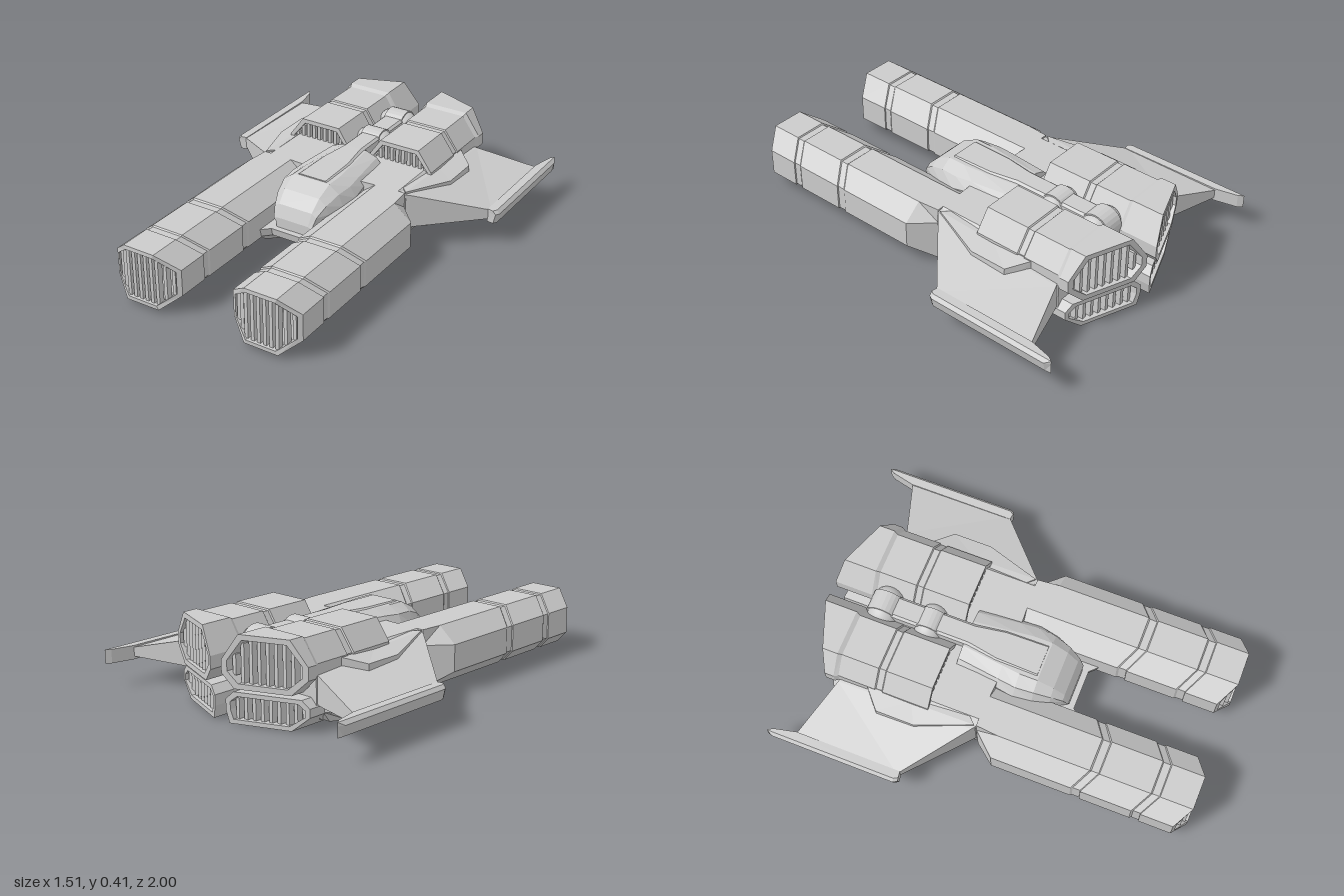
import * as THREE from 'three';

const grey = new THREE.MeshStandardMaterial({ color: 0xcccccc, flatShading: true });
const smooth = new THREE.MeshStandardMaterial({ color: 0xcccccc });

// Skin equal-length loops of [x, y, z] and close both ends
function loft(loops) {
  const pos = [];
  const tri = (a, b, c) => pos.push(...a, ...b, ...c);
  const n = loops[0].length;
  for (let s = 0; s < loops.length - 1; s++) {
    const a = loops[s], b = loops[s + 1];
    for (let i = 0; i < n; i++) {
      const j = (i + 1) % n;
      tri(a[i], a[j], b[j]);
      tri(a[i], b[j], b[i]);
    }
  }
  const cap = (l, flip) => {
    const c = [0, 1, 2].map(k => l.reduce((t, p) => t + p[k], 0) / n);
    for (let i = 0; i < n; i++) {
      const j = (i + 1) % n;
      flip ? tri(c, l[j], l[i]) : tri(c, l[i], l[j]);
    }
  };
  cap(loops[0], true);
  cap(loops[loops.length - 1], false);
  const g = new THREE.BufferGeometry();
  g.setAttribute('position', new THREE.Float32BufferAttribute(pos, 3));
  g.computeVertexNormals();
  return g;
}

// Mirrored copy across x = 0 with corrected winding
function mirrored(geo) {
  const g = geo.index ? geo.toNonIndexed() : geo.clone();
  const p = g.attributes.position;
  for (let i = 0; i < p.count; i += 3) {
    const v = [0, 2, 1].map(k => [-p.getX(i + k), p.getY(i + k), p.getZ(i + k)]);
    v.forEach((q, k) => p.setXYZ(i + k, ...q));
  }
  g.computeVertexNormals();
  return g;
}

// Shrink a 2D profile by distance d about its middle
function inset(profile, d) {
  const [cx, cy, hw, hh] = bounds(profile);
  return profile.map(([x, y]) => [cx + (x - cx) * (1 - d / hw), cy + (y - cy) * (1 - d / hh)]);
}
function bounds(profile) {
  const xs = profile.map(p => p[0]), ys = profile.map(p => p[1]);
  const a = Math.min(...xs), b = Math.max(...xs), c = Math.min(...ys), d = Math.max(...ys);
  return [(a + b) / 2, (c + d) / 2, (b - a) / 2, (d - c) / 2];
}

// Lowest and highest y of a convex profile at x
function spanAt(profile, x) {
  const ys = [];
  profile.forEach(([x0, y0], i) => {
    const [x1, y1] = profile[(i + 1) % profile.length];
    if ((x0 - x) * (x1 - x) < 0) ys.push(y0 + (y1 - y0) * (x - x0) / (x1 - x0));
  });
  return [Math.min(...ys), Math.max(...ys)];
}

export function createModel() {
  const model = new THREE.Group();
  model.name = 'starfighter';
  const add = (name, geo, mat = grey) => {
    const m = new THREE.Mesh(geo, mat);
    m.name = name;
    model.add(m);
    return m;
  };
  const pair = (name, geo) => {
    add(name + 'Left', geo);
    add(name + 'Right', mirrored(geo));
  };
  // Vertical bars filling a profile, with z given by a rule of x
  const grille = (name, profile, count, zAt) => {
    const [cx, , hw] = bounds(profile);
    const step = 2 * hw / count;
    for (let i = 0; i < count; i++) {
      const x = cx - hw + step * (i + 0.5);
      const [lo, hi] = spanAt(profile, x);
      const bar = new THREE.BoxGeometry(step * 0.55, hi - lo, 0.03);
      bar.translate(x, (lo + hi) / 2, zAt(x));
      pair(name, bar);
    }
  };
  const at = (profile, zAt) => profile.map(([x, y]) => [x, y, zAt(x, y)]);

  // Long forward nacelles with two recessed bands and a folded front intake
  const oct = [[0.495, 0.095], [0.495, 0.225], [0.405, 0.3], [0.24, 0.3],
    [0.138, 0.225], [0.138, 0.095], [0.23, 0.02], [0.405, 0.02]];
  const fold = x => Math.max(0, Math.abs(x - 0.318) - 0.085) * 0.65;
  const ring = (d, z) => at(inset(oct, d), x => z - fold(x));
  const nacelle = [
    oct.map(([x, y]) => [Math.min(x, 0.395), y, -0.07]),
    at(oct, () => 0.04),
    ring(0, 0.497), ring(0.006, 0.503), ring(0.006, 0.539), ring(0, 0.545),
    ring(0, 0.795), ring(0.006, 0.8), ring(0.006, 0.835), ring(0, 0.84),
    ring(0, 1), ring(0.02, 1), ring(0.02, 0.95)];
  pair('nacelle', loft(nacelle));
  grille('nacelleGrille', inset(oct, 0.02), 10, x => 0.972 - fold(x));

  // Upper rear engines: slanted rear nozzle, banded body, front intake
  const slant = z => x => z + (x - 0.035) * 0.38;
  const upper = [[0.415, 0.24], [0.415, 0.3], [0.337, 0.41], [0.112, 0.41],
    [0.035, 0.29], [0.035, 0.23], [0.09, 0.165], [0.34, 0.165]];
  const up = (d, z) => at(inset(upper, d), () => z);
  pair('upperEngine', loft([
    at(inset(upper, 0.025), slant(-0.92)), at(inset(upper, 0.025), slant(-0.975)),
    at(upper, slant(-0.975)),
    up(0, -0.785), up(0.012, -0.765),
    up(0.012, -0.58), up(0.018, -0.575), up(0.018, -0.545), up(0.012, -0.54),
    up(0.012, -0.31), up(0.034, -0.31), up(0.034, -0.36)]));
  grille('upperNozzleBar', inset(upper, 0.025), 9, slant(-0.94));
  grille('upperIntakeBar', inset(upper, 0.034), 10, () => -0.335);

  // Lower rear engines, flatter, with a ramped front end
  const lower = [[0.405, 0.07], [0.405, 0.11], [0.37, 0.145], [0.07, 0.145],
    [0.035, 0.11], [0.035, 0.06], [0.05, 0], [0.325, 0]];
  pair('lowerEngine', loft([
    at(inset(lower, 0.02), slant(-0.9)), at(inset(lower, 0.02), slant(-0.955)),
    at(lower, slant(-0.955)), at(lower, () => -0.5),
    lower.map(([x, y]) => [x, Math.max(y, 0.024), -0.38])]));
  grille('lowerNozzleBar', inset(lower, 0.02), 9, slant(-0.92));

  // Central hull
  const hullLoop = (w, y, zb) =>
    [[0, y, -0.05], [w, y, -0.07], [w, y, -0.4], [w, y, zb], [0, y, zb]];
  pair('hull', loft([hullLoop(0.36, 0.022, -0.7), hullLoop(0.4, 0.08, -0.77),
    hullLoop(0.4, 0.27, -0.77), hullLoop(0.36, 0.3, -0.77)]));

  // Shoulder panel above the wing root and pod below it
  const shoulder = (w, y, z0, z1, slope) => [[0.3, y, z0 + 0.17], [0.395, y + 0.005, z0 + slope],
    [w, y - 0.03, z0], [w, y - 0.03, z1], [0.4, y, z1 - 0.08], [0.3, y, z1 - 0.08]];
  pair('shoulderPanel', loft([shoulder(0.495, 0.2, -0.35, -0.54, 0.27),
    shoulder(0.49, 0.295, -0.35, -0.54, 0.27)]));
  const pod = (w, y, z0, z1) => [[0.3, y, z0 + 0.08], [0.4, y, z0 + 0.08],
    [w, y, z0], [w, y, z1], [0.4, y, z1 - 0.07], [0.3, y, z1 - 0.07]];
  pair('shoulderPod', loft([pod(0.435, 0.022, -0.36, -0.62), pod(0.525, 0.075, -0.34, -0.66),
    pod(0.525, 0.11, -0.34, -0.66), pod(0.47, 0.17, -0.34, -0.66)]));

  // Wings taper from a thick root to a thin tip
  const wing = (x, zf, zb, tf, tb, lo) => [[x, tb, zb], [x, tf, zf], [x, lo, zf], [x, lo, zb]];
  pair('wing', loft([wing(0.37, -0.05, -0.75, 0.295, 0.255, 0.115),
    wing(0.415, -0.087, -0.768, 0.285, 0.245, 0.115),
    wing(0.715, -0.345, -0.868, 0.175, 0.17, 0.13)]));

  // Blade along each wing tip
  const blade = (y, o) => [[0.7, y, -0.335], [0.745 + o, y, -0.33], [0.757 + o, y, -0.35],
    [0.757 + o, y, -0.97], [0.742, y, -1], [0.725, y, -0.975], [0.7, y, -0.865]];
  pair('wingTip', loft([blade(0.115, -0.012), blade(0.165, 0), blade(0.182, -0.015)]));

  // Nose bridge between the nacelles
  const bridge = (y, zf) => [[-0.16, y, -0.1], [-0.16, y, zf + 0.06], [-0.1, y, zf],
    [0.1, y, zf], [0.16, y, zf + 0.06], [0.16, y, -0.1]];
  add('noseBridge', loft([bridge(0.04, 0.2), bridge(0.1, 0.3), bridge(0.14, 0.31)]));

  // Canopy: [z, half width, shoulder y, roof half width, roof y]
  const canopy = [
    [-0.27, 0.155, 0.29, 0.065, 0.345], [-0.06, 0.18, 0.275, 0.09, 0.345],
    [0.03, 0.19, 0.26, 0.1, 0.345], [0.12, 0.175, 0.25, 0.1, 0.345],
    [0.2, 0.145, 0.235, 0.095, 0.305], [0.255, 0.112, 0.21, 0.09, 0.25],
    [0.28, 0.095, 0.17, 0.085, 0.19]
  ].map(([z, w, ym, t, top]) => {
    const half = [[w * 0.9, 0.12], [w, ym],
      [(w + t) / 2 + 0.015, ym + (top - ym) * 0.6], [t, top]];
    return [...half, ...half.map(([x, y]) => [-x, y]).reverse()].map(([x, y]) => [x, y, z]);
  });
  add('canopy', loft(canopy));

  // Raised strip on the canopy roof running back into the spine
  const strip = (z, w, y) => [[w, 0.25, z], [w, y - 0.01, z], [w - 0.012, y, z],
    [-w + 0.012, y, z], [-w, y - 0.01, z], [-w, 0.25, z]];
  add('spine', loft([strip(-0.66, 0.055, 0.355), strip(-0.25, 0.055, 0.355),
    strip(-0.1, 0.08, 0.352), strip(0.11, 0.085, 0.35)]));

  // Round-ended drums between the upper engines
  for (const [z, r] of [[-0.46, 0.07], [-0.695, 0.076]]) {
    const drum = new THREE.CapsuleGeometry(r, 0.06, 8, 24);
    drum.rotateZ(Math.PI / 2).translate(0, 0.298, z);
    add('drum', drum, smooth);
    const band = new THREE.CylinderGeometry(r + 0.004, r + 0.004, 0.1, 24);
    band.rotateZ(Math.PI / 2).translate(0, 0.298, z);
    add('drumBand', band, grey);
  }
  return model;
}
